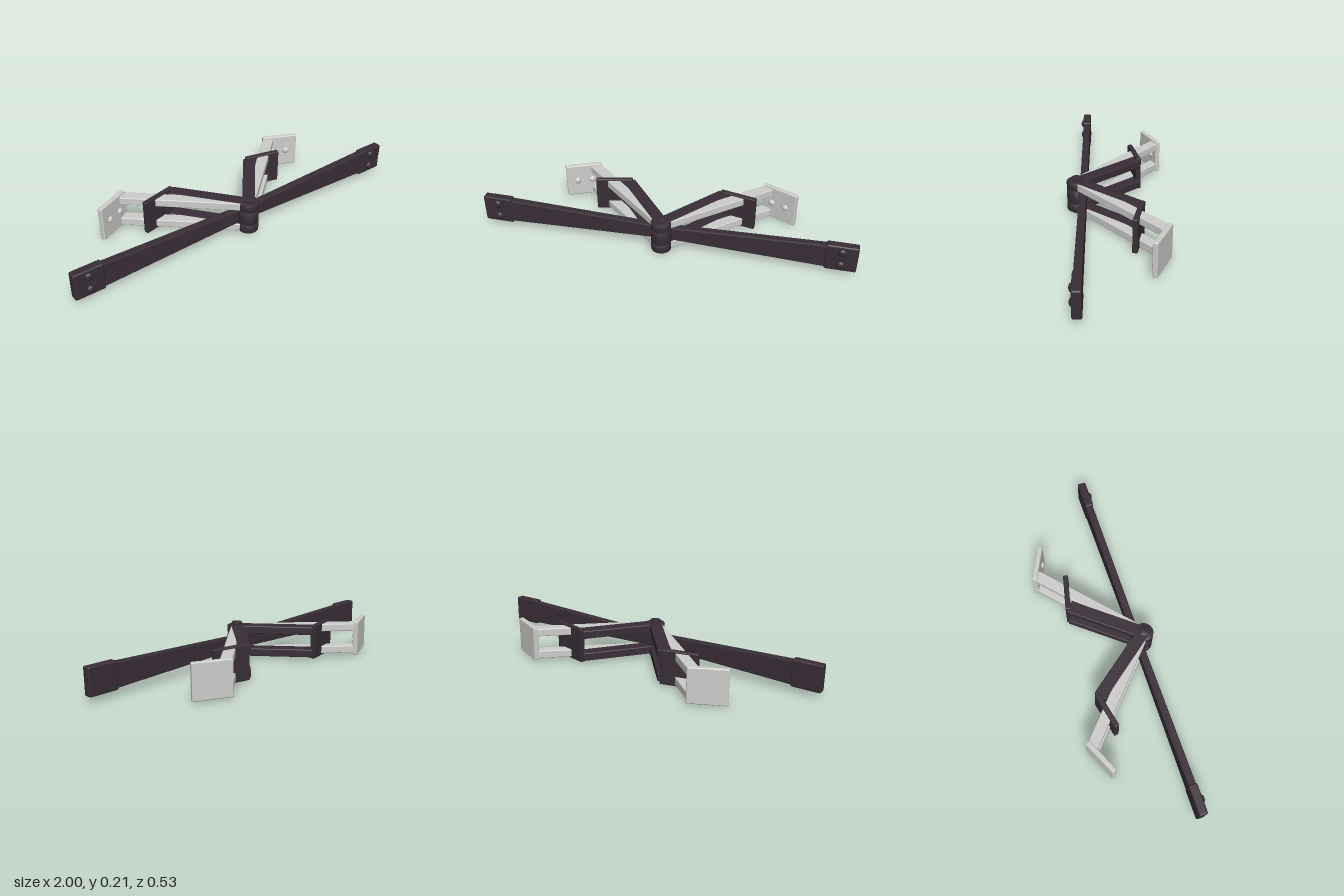
import * as THREE from 'three';
import { RoundedBoxGeometry } from 'three/addons/geometries/RoundedBoxGeometry.js';
import { toCreasedNormals } from 'three/addons/utils/BufferGeometryUtils.js';

const PIVOT_Z = 0.215;
const MID_Y = 0.104;

export function createModel() {
  const model = new THREE.Group();
  model.name = 'hingedBracket';

  const dark = new THREE.MeshStandardMaterial({ color: 0x392e37 });
  dark.name = 'dark plum';
  const light = new THREE.MeshStandardMaterial({ color: 0xcdcdcb });
  light.name = 'light grey';

  function add(name, geometry, material, x, y, z, parent = model) {
    const mesh = new THREE.Mesh(geometry, material);
    mesh.name = name;
    mesh.position.set(x, y, z);
    parent.add(mesh);
    return mesh;
  }

  const rounded = (w, h, d, r) => new RoundedBoxGeometry(w, h, d, 2, r);

  // Upright cylinder with softened rims, centred on its own origin
  function barrel(r, h, b) {
    const t = h / 2;
    const k = b * 0.3;
    const points = [
      [0, -t], [r - b, -t], [r - k, -t + k], [r, -t + b],
      [r, t - b], [r - k, t - k], [r - b, t], [0, t],
    ].map(([x, y]) => new THREE.Vector2(x, y));
    return toCreasedNormals(new THREE.LatheGeometry(points, 32), 0.6);
  }

  // Low dome that bulges toward +z
  function dome(r, h) {
    const g = new THREE.SphereGeometry(r, 20, 8, 0, Math.PI * 2, 0, Math.PI / 2);
    g.rotateX(Math.PI / 2);
    g.scale(1, 1, h / r);
    return g;
  }

  // Hinge: three stacked knuckles on a capped pin
  add('lowerKnuckle', barrel(0.053, 0.044, 0.006), dark, 0, 0.040, PIVOT_Z);
  add('middleKnuckle', barrel(0.053, 0.074, 0.006), dark, 0, 0.105, PIVOT_Z);
  add('upperKnuckle', barrel(0.053, 0.044, 0.006), dark, 0, 0.169, PIVOT_Z);
  add('hingePin', new THREE.CylinderGeometry(0.022, 0.022, 0.19, 24), dark, 0, MID_Y, PIVOT_Z);
  for (const y of [0.005, 0.203]) {
    add('pinCap', barrel(0.029, 0.01, 0.004), dark, 0, y, PIVOT_Z);
  }

  // Front crossbar, narrow at the hinge and tall at both ends
  const b = 0.005;
  const outline = new THREE.Shape();
  outline.moveTo(-0.87, -0.066 + b);
  outline.lineTo(0, -0.036 + b);
  outline.lineTo(0.87, -0.066 + b);
  outline.lineTo(0.87, 0.066 - b);
  outline.lineTo(0, 0.036 - b);
  outline.lineTo(-0.87, 0.066 - b);
  outline.closePath();
  const barGeometry = new THREE.ExtrudeGeometry(outline, {
    depth: 0.03, bevelEnabled: true, bevelSize: b, bevelThickness: b, bevelSegments: 2,
  });
  add('crossbar', barGeometry, dark, 0, 0.105, 0.164);

  // A pair of stacked rails from the hinge out to a given end point
  function rails(name, side, endX, endZ, width, height, material) {
    const dz = endZ - PIVOT_Z;
    const length = Math.hypot(endX, dz);
    for (const y of [0.040, 0.169]) {
      const rail = add(name, rounded(length, height, width, 0.005), material,
        side * endX / 2, y, (PIVOT_Z + endZ) / 2);
      rail.rotation.y = side * Math.atan2(-dz, endX);
    }
  }

  // Upright pad, turned so that its outer edge comes forward
  function plate(name, side, x, z, degrees, material) {
    const group = new THREE.Group();
    group.name = name;
    group.position.set(side * x, MID_Y, z);
    group.rotation.y = -side * THREE.MathUtils.degToRad(degrees);
    model.add(group);
    add(name + 'Panel', rounded(0.205, 0.192, 0.028, 0.006), material, 0, 0, 0, group);
    return group;
  }

  for (const side of [1, -1]) {
    // Crossbar end pads with two studs each
    add('crossbarPad', rounded(0.16, 0.148, 0.047, 0.008), dark, side * 0.92, 0.105, 0.18);
    for (const y of [0.067, 0.143]) {
      add('crossbarStud', dome(0.022, 0.014), dark, side * 0.92, y, 0.203);
    }

    // Long light arm
    rails('longArmRail', side, 0.505, -0.236, 0.06, 0.043, light);
    const lightPlate = plate('longArmPlate', side, 0.57, -0.212, 25, light);
    for (const x of [0.04, -0.045]) {
      add('plateStud', dome(0.019, 0.013), light, side * x, 0, 0.0138, lightPlate);
    }

    // Short dark arm
    rails('shortArmRail', side, 0.268, -0.118, 0.07, 0.0445, dark);
    plate('shortArmPlate', side, 0.35, -0.108, 13, dark);
  }

  return model;
}
